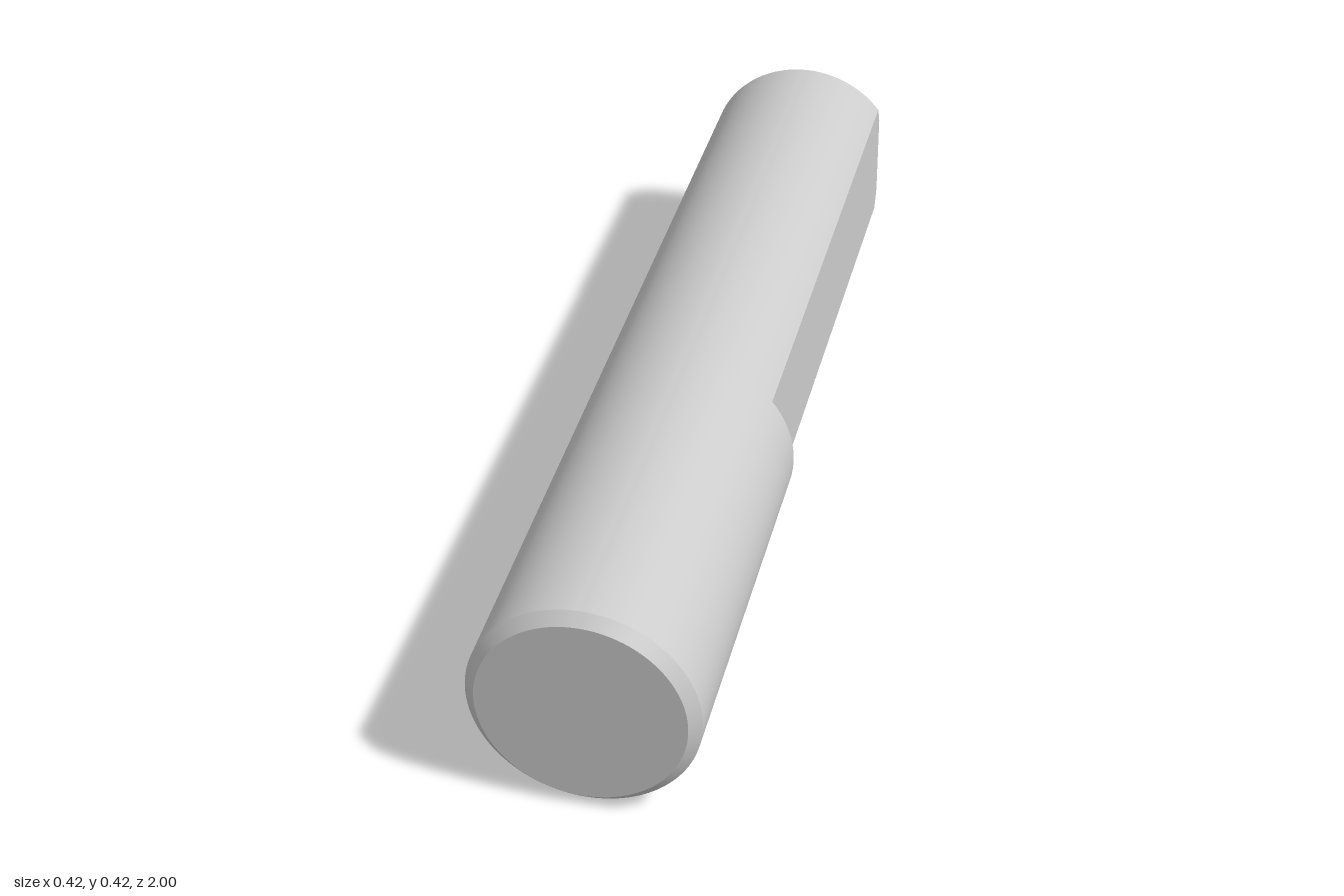
import * as THREE from 'three';
import { toCreasedNormals } from 'three/addons/utils/BufferGeometryUtils.js';

const R = 0.211, END_R = 0.19, CHAMFER = 0.02; // shaft radius, end face radius, bevel length
const FLAT_X = 0.167, FLAT_END = 0.2;          // plane of the flat and where it stops
const FLAT_SEGS = 24, ARC_SEGS = 84;

// One closed cross-section: the part facing +x is either round or cut straight
function section(z, r, cut) {
  const a = Math.acos(FLAT_X / (cut ? r : R));
  const points = [];
  for (let i = 0; i < FLAT_SEGS; i++) {
    const t = -a + (2 * a * i) / FLAT_SEGS;
    points.push(new THREE.Vector3(cut ? FLAT_X : r * Math.cos(t), r * Math.sin(t), z));
  }
  for (let i = 0; i < ARC_SEGS; i++) {
    const t = a + ((2 * Math.PI - 2 * a) * i) / ARC_SEGS;
    points.push(new THREE.Vector3(r * Math.cos(t), r * Math.sin(t), z));
  }
  return points;
}

function shaftGeometry() {
  const sections = [
    section(1, END_R, false),
    section(1 - CHAMFER, R, false),
    section(FLAT_END, R, false),
    section(FLAT_END, R, true), // step down to the flat
  ];
  // Back bevel in short steps, so its edge with the flat curves
  for (let i = 0; i <= 4; i++) {
    const k = i / 4;
    sections.push(section(-1 + CHAMFER * (1 - k), R + (END_R - R) * k, true));
  }

  const positions = [];
  const triangle = (a, b, c) => {
    if (new THREE.Triangle(a, b, c).getArea() < 1e-9) return;
    for (const p of [a, b, c]) positions.push(p.x, p.y, p.z);
  };
  const count = FLAT_SEGS + ARC_SEGS;
  const first = sections[0], last = sections[sections.length - 1];
  const front = new THREE.Vector3(0, 0, 1), back = new THREE.Vector3(0, 0, -1);
  for (let j = 0; j < count; j++) {
    const n = (j + 1) % count;
    for (let i = 0; i < sections.length - 1; i++) {
      const s = sections[i], t = sections[i + 1];
      triangle(s[j], t[j], s[n]);
      triangle(s[n], t[j], t[n]);
    }
    // End faces
    triangle(front, first[j], first[n]);
    triangle(back, last[n], last[j]);
  }
  const geometry = new THREE.BufferGeometry();
  geometry.setAttribute('position', new THREE.Float32BufferAttribute(positions, 3));
  return toCreasedNormals(geometry, 0.45);
}

export function createModel() {
  const group = new THREE.Group();
  group.name = 'dShaft';
  const shaft = new THREE.Mesh(shaftGeometry(), new THREE.MeshStandardMaterial({ color: 0xcccccc }));
  shaft.name = 'shaftWithFlat';
  shaft.position.y = R;
  group.add(shaft);
  return group;
}
